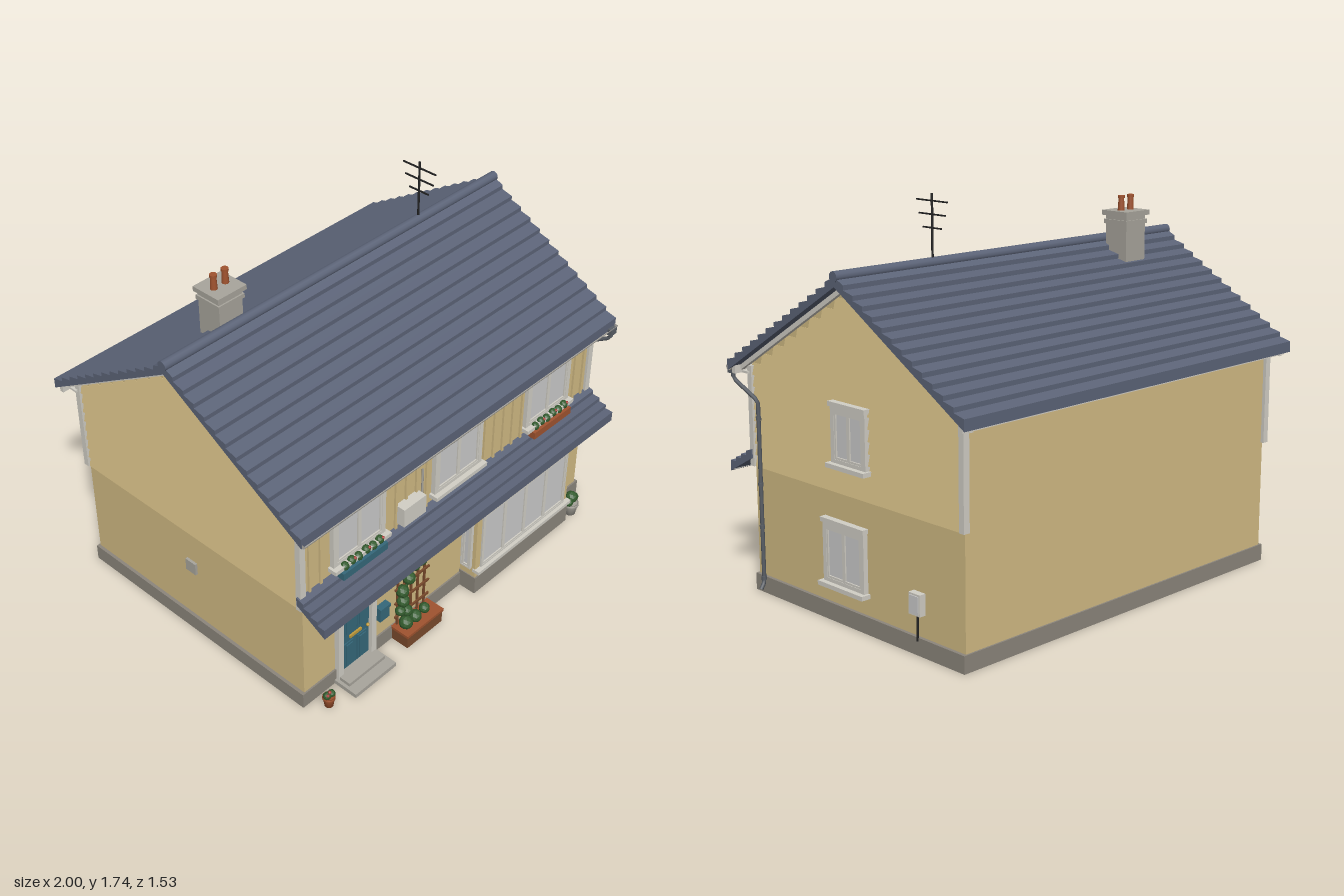
import * as THREE from 'three';

const mat = (color, extra = {}) => new THREE.MeshStandardMaterial({ color, ...extra });
const M = {
  wall: mat(0xd2bb84, { side: THREE.DoubleSide }), roof: mat(0x5c6478), plinth: mat(0x8c867c), trim: mat(0xd2cfc6),
  glass: mat(0xcccccc), teal: mat(0x35687a), clay: mat(0xa0532f), wood: mat(0x7a4a2c), leaf: mat(0x335c2e, { flatShading: true }),
  black: mat(0x222222), pipe: mat(0x5a5f66), brass: mat(0xc09a3a), stone: mat(0xa8a59c), flower: mat(0xa83a34, { flatShading: true }),
};
const FRONT = 0.617, BACK = -0.687, SIDE = 0.92, MID = -0.036, EAVE = 1.015, APEX = 1.41, SLOPE = 0.605;

function add(parent, name, geo, material, x = 0, y = 0, z = 0) {
  const m = new THREE.Mesh(geo, material);
  m.name = name;
  m.position.set(x, y, z);
  parent.add(m);
  return m;
}
// Box given by its limits on each axis
function box(parent, name, material, x0, x1, y0, y1, z0, z1) {
  return add(parent, name, new THREE.BoxGeometry(x1 - x0, y1 - y0, z1 - z0), material, (x0 + x1) / 2, (y0 + y1) / 2, (z0 + z1) / 2);
}
function group(parent, name, x = 0, y = 0, z = 0) {
  const g = new THREE.Group();
  g.name = name;
  g.position.set(x, y, z);
  parent.add(g);
  return g;
}
const polygon = pts => new THREE.Shape(pts.map(p => new THREE.Vector2(...p)));
const rect = (x0, x1, y0, y1) => polygon([[x0, y0], [x1, y0], [x1, y1], [x0, y1]]);
// Flat panel with rectangular openings
function panel(pts, holes, depth) {
  const s = polygon(pts);
  holes.forEach(h => s.holes.push(rect(...h)));
  return new THREE.ExtrudeGeometry(s, { depth, bevelEnabled: false });
}
function tube(parent, name, material, pts, r) {
  const path = new THREE.CurvePath();
  const v = pts.map(p => new THREE.Vector3(...p));
  for (let i = 1; i < v.length; i++) path.add(new THREE.LineCurve3(v[i - 1], v[i]));
  return add(parent, name, new THREE.TubeGeometry(path, 40, r, 8), material);
}

// Sloping roof of overlapping tile courses, running out along +z (or -z)
function tiledSlope(parent, name, width, top, z, run, slope, courses, dir) {
  const pts = [[0, top - 0.04], [0, top]];
  for (let i = 1; i <= courses; i++) {
    const d = run * i / courses, y = top - slope * d;
    pts.push([d, y + 0.008], [d, y - (i === courses ? 0.04 : 0.012)]);
  }
  const geo = new THREE.ExtrudeGeometry(polygon(pts.reverse()), { depth: width, bevelEnabled: false });
  geo.translate(0, 0, -width / 2);
  add(parent, name, geo, M.roof, 0, 0, z).rotation.y = -dir * Math.PI / 2;
}

// Window facing +z: casing, sashes, glass, head and sill
function windowUnit(parent, name, w, h, panes, x, y, z, turn = 0, dressed = true) {
  const g = group(parent, name, x, y, z);
  g.rotation.y = turn;
  const a = w / 2, b = h / 2, c = dressed ? 0.022 : 0.008;
  add(g, 'casing', panel([[-a - c, -b - c], [a + c, -b - c], [a + c, b + c], [-a - c, b + c]], [[-a, a, -b, b]], 0.037), M.trim, 0, 0, -0.015);
  box(g, 'glass', M.glass, -a, a, -b, b, -0.008, 0.014);
  const p = w / panes;
  for (let i = 0; i < panes; i++) {
    const l = -a + i * p, r = l + p, f = 0.009;
    add(g, 'sash', panel([[l, -b], [r, -b], [r, b], [l, b]], [[l + f, r - f, -b + f, b - f]], 0.008), M.trim, 0, 0, 0.012);
  }
  if (dressed) {
    box(g, 'head', M.trim, -a - 0.028, a + 0.028, b + 0.022, b + 0.042, 0, 0.03);
    box(g, 'sill', M.trim, -a - 0.034, a + 0.034, -b - 0.035, -b - 0.016, 0, 0.045);
  }
}

function foliage(parent, name, material, spots) {
  const g = group(parent, name);
  spots.forEach(([x, y, z, r]) => add(g, 'leafClump', new THREE.IcosahedronGeometry(r, 1), material, x, y, z));
}
function pot(parent, name, material, x, z, r, h) {
  const pts = [[0, 0], [r * 0.68, 0], [r * 0.9, h * 0.8], [r, h * 0.8], [r, h], [r * 0.85, h], [r * 0.8, h * 0.85], [0, h * 0.85]];
  add(parent, name, new THREE.LatheGeometry(pts.map(p => new THREE.Vector2(...p)), 16), material, x, 0, z);
}

export function createModel() {
  const house = new THREE.Group();
  house.name = 'house';

  // Walls
  const upper = [-0.61, 0, 0.61];
  const walls = group(house, 'walls');
  const frontHoles = [...upper.map(x => [x - 0.13, x + 0.13, 0.695, 0.905]), [-0.71, -0.535, 0.02, 0.44], [0.11, 0.7, 0.145, 0.43]];
  add(walls, 'frontWall', panel([[-SIDE, 0.01], [SIDE, 0.01], [SIDE, EAVE], [-SIDE, EAVE]], frontHoles, 0.02), M.wall, 0, 0, FRONT - 0.02);
  box(walls, 'backWall', M.wall, -SIDE, SIDE, 0.01, EAVE, BACK, BACK + 0.02);
  const gable = [[-FRONT, 0.01], [-BACK, 0.01], [-BACK, EAVE], [-MID, APEX], [-FRONT, EAVE]];
  const gableHoles = [[-0.045, 0.125, 0.705, 0.9], [-0.12, 0.095, 0.185, 0.4]];
  for (const s of [-1, 1]) {
    const pts = s > 0 ? gable : gable.map(([a, y]) => [-a, y]);
    const wall = add(walls, 'gableWall', panel(pts, s > 0 ? gableHoles : [], 0.02), M.wall, s * (SIDE - 0.02));
    wall.rotation.y = s * Math.PI / 2;
    // Lapped boards on the upper gable
    for (let y = 0.56; y < 1.35; y += 0.05) {
      const half = Math.min(0.65, (APEX - y - 0.05) / SLOPE);
      const geo = new THREE.ExtrudeGeometry(polygon([[0, y], [0.014, y], [0.002, y + 0.05], [0, y + 0.05]]), { depth: 2 * half, bevelEnabled: false });
      geo.translate(0, 0, -half);
      add(walls, 'lapBoard', geo, M.wall, s * SIDE, 0, MID).rotation.y = s > 0 ? 0 : Math.PI;
    }
    // Corner boards and plinth ends
    for (const z of [FRONT, BACK])
      box(walls, 'cornerBoard', M.trim, s * 0.925 - 0.015, s * 0.925 + 0.015, 0.56, 1.0, z - 0.015, z + 0.012);
    box(walls, 'sidePlinth', M.plinth, s * 0.915 - 0.02, s * 0.915 + 0.02, 0, 0.075, -0.695, 0.625);
  }
  box(walls, 'backPlinth', M.plinth, -0.9, 0.9, 0, 0.075, -0.695, -0.655);
  box(walls, 'frontPlinth', M.plinth, -0.9, -0.72, 0, 0.075, 0.585, 0.625);
  box(walls, 'frontPlinth', M.plinth, -0.525, 0.9, 0, 0.075, 0.585, 0.625);
  for (let i = -14; i <= 14; i++) {
    const x = i * 0.063;
    if (upper.every(c => Math.abs(x - c) > 0.165)) box(walls, 'batten', M.wall, x - 0.006, x + 0.006, 0.6, 0.98, FRONT, FRONT + 0.01);
  }

  // Main roof, ridge, verge boards and eaves
  const roof = group(house, 'roof');
  for (const dir of [1, -1]) {
    tiledSlope(roof, 'roofSlope', 1.99, 1.458, MID, 0.73, SLOPE, 13, dir);
    for (const s of [-1, 1]) {
      const geo = panel([[0, 1.395], [0.715, 1.395 - 0.715 * SLOPE], [0.715, 1.425 - 0.715 * SLOPE], [0, 1.425]], [], 0.02);
      geo.translate(0, 0, -0.01);
      add(roof, 'vergeBoard', geo, M.trim, s * 0.945, 0, MID).rotation.y = -dir * Math.PI / 2;
    }
    const z = MID + dir * 0.7;
    box(roof, 'fascia', M.trim, -0.985, 0.985, 0.965, 1.005, z - 0.01, z + 0.01);
    box(roof, 'soffit', M.trim, -0.95, 0.95, 0.965, 0.975, Math.min(z, MID + dir * 0.65), Math.max(z, MID + dir * 0.65));
  }
  add(roof, 'ridgeTile', new THREE.CylinderGeometry(0.023, 0.023, 1.998, 12), M.roof, 0, 1.458, MID).rotation.z = Math.PI / 2;
  const gutter = new THREE.CylinderGeometry(0.02, 0.02, 1.98, 12, 1, false, -Math.PI / 2, Math.PI);
  const g = add(roof, 'gutter', gutter, mat(0xb5b2aa, { side: THREE.DoubleSide }), 0, 0.995, 0.692);
  g.rotation.set(Math.PI / 2, 0, Math.PI / 2, 'XYZ');

  // Canopy along the front
  const canopy = group(house, 'canopy');
  tiledSlope(canopy, 'canopySlope', 1.895, 0.635, 0.612, 0.153, 0.55, 4, 1);
  box(canopy, 'canopyFascia', M.trim, -0.945, 0.945, 0.52, 0.55, 0.742, 0.757);

  // Chimney and aerial
  const chimney = group(house, 'chimney', -0.597, 0, -0.133);
  box(chimney, 'stack', M.stone, -0.063, 0.063, 1.3, 1.57, -0.06, 0.06);
  box(chimney, 'band', M.stone, -0.07, 0.07, 1.53, 1.55, -0.067, 0.067);
  box(chimney, 'cap', M.stone, -0.077, 0.077, 1.568, 1.59, -0.073, 0.073);
  for (const x of [-0.031, 0.031]) {
    add(chimney, 'chimneyPot', new THREE.CylinderGeometry(0.012, 0.016, 0.07, 14), M.clay, x, 1.62);
    add(chimney, 'potRim', new THREE.CylinderGeometry(0.016, 0.016, 0.012, 14), M.clay, x, 1.651);
  }
  const aerial = group(house, 'aerial', 0.48, 0, MID);
  add(aerial, 'mast', new THREE.CylinderGeometry(0.005, 0.005, 0.28, 8), M.black, 0, 1.6);
  [[1.71, 0.092], [1.655, 0.08], [1.6, 0.055]].forEach(([y, h]) => box(aerial, 'crossbar', M.black, -0.003, 0.003, y - 0.003, y + 0.003, -h, h));

  // Windows
  upper.forEach(x => windowUnit(house, 'upperWindow', 0.26, 0.21, 2, x, 0.8, FRONT));
  windowUnit(house, 'upperSideWindow', 0.17, 0.195, 2, SIDE + 0.006, 0.803, -0.04, Math.PI / 2);
  windowUnit(house, 'lowerSideWindow', 0.215, 0.215, 2, SIDE, 0.293, 0.013, Math.PI / 2);

  // Bay window
  const bay = group(house, 'bayWindow');
  box(bay, 'bayPlinth', M.plinth, 0.067, 0.74, 0, 0.09, 0.6, 0.71);
  add(bay, 'bayFront', panel([[0.072, 0.09], [0.735, 0.09], [0.735, 0.49], [0.072, 0.49]], [[0.112, 0.698, 0.145, 0.43]], 0.02), M.wall, 0, 0, 0.683);
  windowUnit(bay, 'bayGlazing', 0.586, 0.285, 4, 0.405, 0.2875, 0.69, 0, false);
  for (const s of [-1, 1]) {
    const x = 0.4035 + s * 0.3215;
    box(bay, 'baySide', M.wall, x - 0.01, x + 0.01, 0.09, 0.49, FRONT, 0.683);
    windowUnit(bay, 'baySideGlazing', 0.04, 0.285, 1, x + s * 0.003, 0.2875, 0.656, s * Math.PI / 2, false);
  }
  box(bay, 'baySill', M.trim, 0.068, 0.74, 0.12, 0.137, 0.69, 0.728);
  box(bay, 'bayTop', M.trim, 0.062, 0.745, 0.488, 0.505, 0.6, 0.715);

  // Door
  const door = group(house, 'frontDoor', -0.6225, 0, FRONT);
  box(door, 'doorLeaf', M.teal, -0.088, 0.088, 0.02, 0.44, -0.022, 0.006);
  add(door, 'doorFrame', panel([[-0.115, 0.02], [0.115, 0.02], [0.115, 0.465], [-0.115, 0.465]], [[-0.086, 0.086, 0.021, 0.438]], 0.03), M.trim, 0, 0, -0.005);
  box(door, 'doorHead', M.trim, -0.123, 0.123, 0.463, 0.483, 0, 0.04);
  for (const x of [-0.04, 0.04])
    [[0.045, 0.185], [0.235, 0.33], [0.35, 0.42]].forEach(([a, b]) => {
      box(door, 'doorPanel', M.teal, x - 0.028, x + 0.028, a, b, 0, 0.011);
      box(door, 'panelField', M.teal, x - 0.019, x + 0.019, a + 0.01, b - 0.01, 0, 0.016);
    });
  box(door, 'letterPlate', M.brass, -0.035, 0.035, 0.204, 0.218, 0, 0.014);
  add(door, 'knob', new THREE.SphereGeometry(0.008, 12, 8), M.brass, 0.07, 0.21, 0.016);
  box(door, 'lowerStep', M.stone, -0.125, 0.125, 0, 0.02, 0, 0.13);
  box(door, 'upperStep', M.stone, -0.11, 0.11, 0.02, 0.037, 0, 0.08);

  // Lamp, letter box and wall units
  const fittings = group(house, 'fittings');
  box(fittings, 'lampBack', M.black, -0.465, -0.447, 0.34, 0.4, FRONT, 0.627);
  add(fittings, 'lampGlass', new THREE.CylinderGeometry(0.014, 0.009, 0.035, 8), M.glass, -0.456, 0.362, 0.643);
  add(fittings, 'lampHood', new THREE.ConeGeometry(0.018, 0.018, 8), M.black, -0.456, 0.389, 0.643);
  box(fittings, 'letterBox', M.teal, -0.487, -0.43, 0.18, 0.245, FRONT, 0.645);
  box(fittings, 'letterBoxLid', M.teal, -0.49, -0.427, 0.24, 0.255, FRONT, 0.65);
  box(fittings, 'wallUnit', M.trim, -0.375, -0.24, 0.66, 0.752, FRONT, 0.667);
  tube(fittings, 'wallUnitPipe', M.stone, [[-0.24, 0.695, 0.63], [-0.225, 0.695, 0.63], [-0.225, 0.865, 0.63]], 0.005);
  box(fittings, 'meterBox', M.trim, SIDE, 0.95, 0.17, 0.26, -0.46, -0.395);
  box(fittings, 'meterDoor', M.glass, 0.95, 0.954, 0.178, 0.252, -0.453, -0.402);
  tube(fittings, 'meterPipe', M.black, [[0.935, 0.17, -0.43], [0.935, 0.06, -0.43]], 0.005);
  box(fittings, 'wallVent', M.stone, -0.932, -SIDE, 0.335, 0.395, -0.07, -0.01);

  // Downpipe
  const drain = group(house, 'downpipe');
  box(drain, 'hopper', M.pipe, 0.94, 0.98, 0.96, 0.99, 0.675, 0.715);
  tube(drain, 'pipe', M.pipe, [[0.962, 0.97, 0.7], [0.962, 0.935, 0.7], [0.942, 0.855, 0.558], [0.942, 0.05, 0.558], [0.96, 0.022, 0.558]], 0.009);
  for (const y of [0.78, 0.49, 0.3, 0.07]) add(drain, 'clip', new THREE.CylinderGeometry(0.012, 0.012, 0.016, 10), M.pipe, 0.942, y, 0.558);

  // Window boxes
  [[-0.612, M.teal], [0.61, M.clay]].forEach(([x, m]) => {
    box(house, 'windowBox', m, x - 0.13, x + 0.13, 0.622, 0.657, 0.628, 0.675);
    const spots = [-0.1, -0.06, -0.02, 0.025, 0.065, 0.105].map((d, i) => [x + d, 0.668 + (i % 2) * 0.006, 0.65, 0.02]);
    foliage(house, 'boxPlants', M.leaf, spots);
    foliage(house, 'boxFlowers', M.flower, spots.filter((p, i) => i % 2).map(([a, b, c]) => [a + 0.008, b + 0.012, c + 0.012, 0.007]));
  });

  // Trellis with climber and planter
  const trellis = group(house, 'trellis');
  for (let i = 0; i < 5; i++) {
    const x = -0.365 + i * 0.043, y = 0.13 + i * 0.08;
    box(trellis, 'upright', M.wood, x - 0.005, x + 0.005, 0.05, 0.48, 0.628, 0.636);
    box(trellis, 'slat', M.wood, -0.388, -0.17, y - 0.005, y + 0.005, 0.634, 0.642);
  }
  box(trellis, 'planter', M.wood, -0.388, -0.162, 0, 0.065, 0.625, 0.715);
  box(trellis, 'planterRim', M.clay, -0.393, -0.157, 0.062, 0.075, 0.622, 0.72);
  const stem = [[-0.33, 0.07], [-0.36, 0.2], [-0.31, 0.33], [-0.23, 0.4], [-0.195, 0.49]];
  tube(trellis, 'stem', M.leaf, stem.map(([x, y]) => [x, y, 0.648]), 0.006);
  foliage(trellis, 'climber', M.leaf, [[-0.35, 0.1, 0.67, 0.032], [-0.29, 0.095, 0.67, 0.03], [-0.23, 0.1, 0.67, 0.025], [-0.325, 0.14, 0.65, 0.028],
    [-0.365, 0.165, 0.65, 0.024], [-0.35, 0.215, 0.65, 0.03], [-0.355, 0.275, 0.65, 0.03], [-0.315, 0.325, 0.65, 0.03], [-0.28, 0.375, 0.65, 0.026],
    [-0.24, 0.38, 0.65, 0.028], [-0.215, 0.435, 0.65, 0.03], [-0.19, 0.495, 0.65, 0.024]]);

  // Pots
  pot(house, 'clayPot', M.clay, -0.85, 0.69, 0.028, 0.052);
  foliage(house, 'clayPotPlant', M.leaf, [[-0.86, 0.062, 0.69, 0.018], [-0.84, 0.066, 0.695, 0.017]]);
  foliage(house, 'clayPotFlowers', M.flower, [[-0.85, 0.078, 0.695, 0.008], [-0.866, 0.074, 0.7, 0.007]]);
  pot(house, 'stonePot', M.stone, 0.8, 0.69, 0.038, 0.062);
  foliage(house, 'stonePotPlant', M.leaf, [[0.8, 0.095, 0.69, 0.03], [0.775, 0.08, 0.695, 0.022], [0.825, 0.08, 0.688, 0.022]]);
  return house;
}
